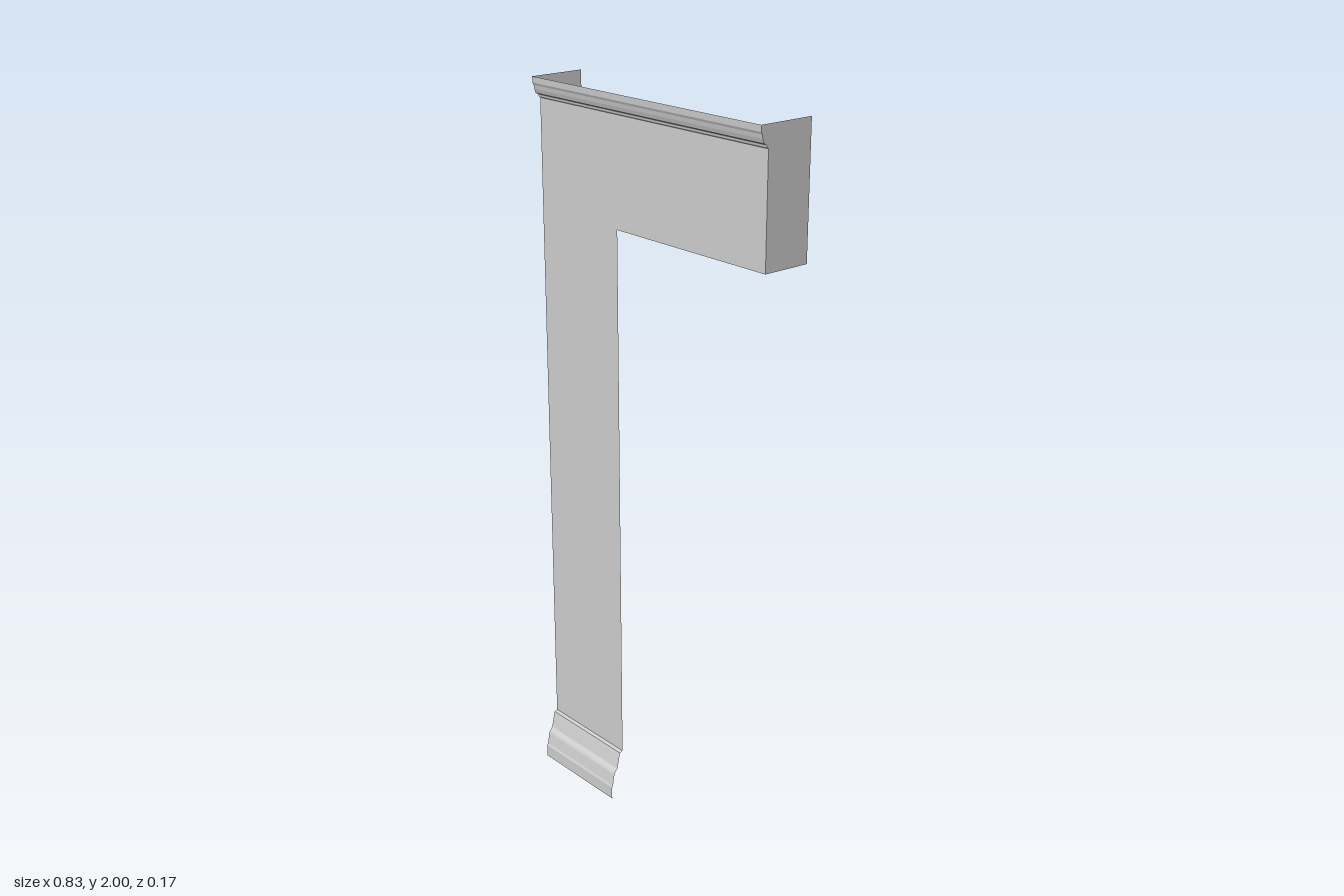
import * as THREE from 'three';

const LEFT = 0.417, RIGHT = -0.417, INNER = -0.113; // x of the outer sides and of the post's inner edge
const BACK = -0.087, FACE = 0.047, ARM_Y = 1.657;

// Moulding profiles as [z, y], from top to bottom
const crown = [[0.071, 2], [0.07, 1.984], [0.067, 1.978], [0.065, 1.968], [0.061, 1.957],
  [0.053, 1.953], [0.052, 1.948], [FACE, 1.944]];
const plinth = [[FACE, 0.143], [0.056, 0.139], [0.059, 0.128], [0.067, 0.092], [0.07, 0.088],
  [0.075, 0.082], [0.078, 0.076], [0.084, 0.042], [0.087, 0.036], [0.087, 0]];

export function createModel() {
  const group = new THREE.Group();
  const material = new THREE.MeshStandardMaterial({
    color: 0xcccccc, side: THREE.DoubleSide, flatShading: true,
  });

  const add = (name, geometry) => {
    const mesh = new THREE.Mesh(geometry, material);
    mesh.name = name;
    group.add(mesh);
    return mesh;
  };
  const outline = (points) => new THREE.ShapeGeometry(
    new THREE.Shape(points.map(([x, y]) => new THREE.Vector2(x, y))));

  // Open strip that follows a profile along x
  const moulding = (name, profile, x0, x1) => {
    const geometry = new THREE.PlaneGeometry(1, 1, 1, profile.length - 1);
    const position = geometry.attributes.position;
    profile.forEach(([z, y], i) => {
      position.setXYZ(i * 2, x0, y, z);
      position.setXYZ(i * 2 + 1, x1, y, z);
    });
    geometry.computeVertexNormals();
    add(name, geometry);
  };

  // Thin side sheet, drawn in z and y, then turned to face sideways
  const side = (name, x, points) => {
    add(name, outline(points).rotateY(-Math.PI / 2)).position.x = x;
  };

  // L-shaped front face between the mouldings
  const top = crown[crown.length - 1][1], bottom = plinth[0][1];
  add('frontPanel', outline([[RIGHT, bottom], [INNER, bottom], [INNER, ARM_Y],
    [LEFT, ARM_Y], [LEFT, top], [RIGHT, top]])).position.z = FACE;

  moulding('crownMoulding', crown, RIGHT, LEFT);
  moulding('plinthMoulding', plinth, RIGHT, INNER);

  // Full-height side of the post and short side at the end of the arm
  side('postSide', RIGHT, [[BACK, 0], [BACK, 2], ...crown, ...plinth]);
  side('armEndSide', LEFT, [[BACK, ARM_Y], [BACK, 2], ...crown, [FACE, ARM_Y]]);

  return group;
}
